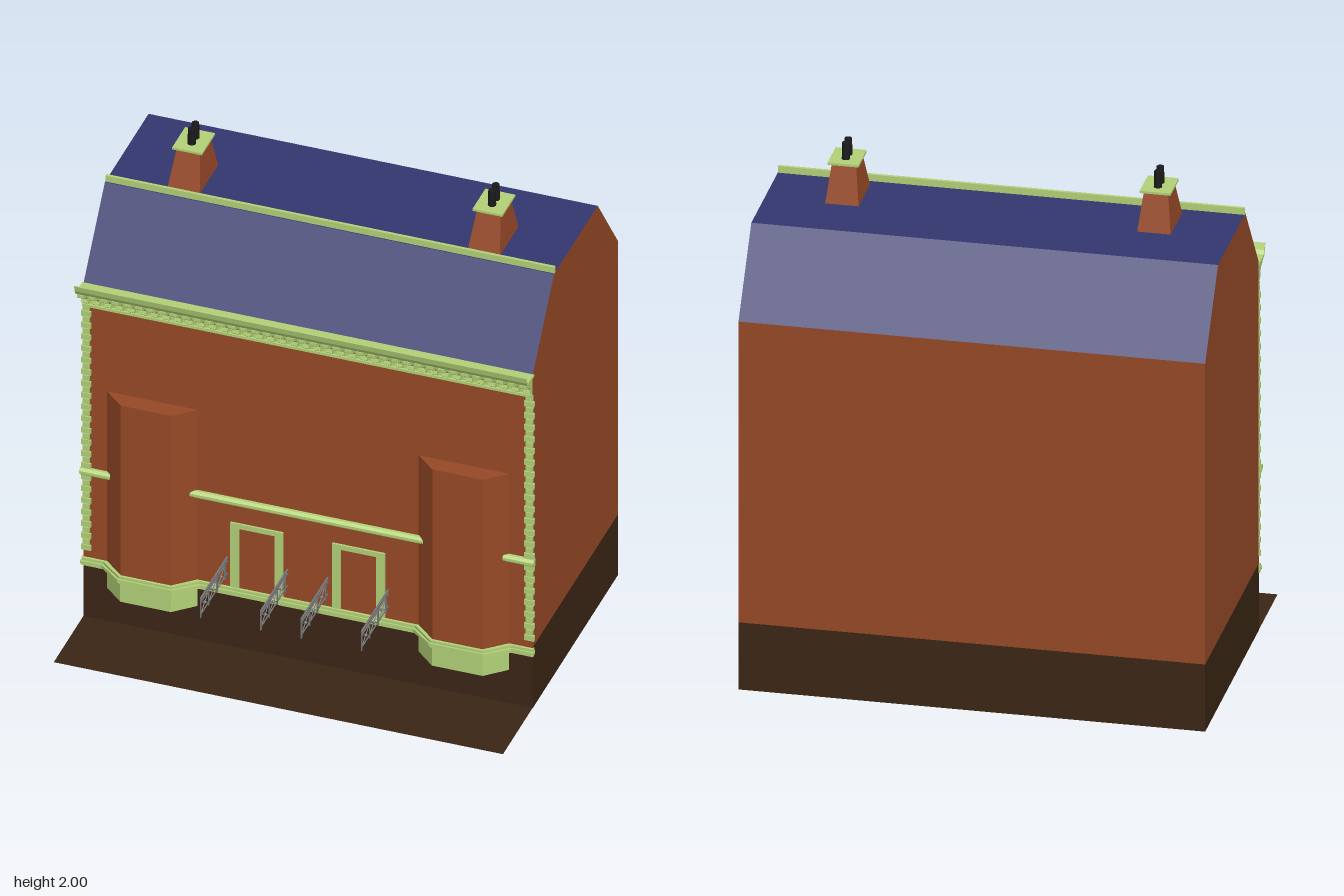
import * as THREE from 'three';

const mat = (color) => new THREE.MeshStandardMaterial({ color, side: THREE.DoubleSide, flatShading: true });
const brick = mat(0x974927), stone = mat(0xb4d278), plinth = mat(0x3b2615);
const slate = mat(0x34376f), black = mat(0x1a1a1a), iron = mat(0x777777);

const W = 0.875, FRONT = 0.3, BACK = -0.62;
const BAY = 0.607, BAY_OUT = 0.176, BAY_IN = 0.098, BAY_Z = 0.37;

const add = (parent, name, geometry, material) => {
  const mesh = new THREE.Mesh(geometry, material);
  mesh.name = name;
  parent.add(mesh);
  return mesh;
};
const shapeOf = (pts) => new THREE.Shape(pts.map(([x, y]) => new THREE.Vector2(x, y)));

// Box given by its limits
function box(x0, x1, y0, y1, z0, z1) {
  return new THREE.BoxGeometry(x1 - x0, y1 - y0, z1 - z0)
    .translate((x0 + x1) / 2, (y0 + y1) / 2, (z0 + z1) / 2);
}

// Flat convex panel from its corners
function panel(corners) {
  const g = new THREE.BufferGeometry();
  const index = [];
  for (let i = 1; i < corners.length - 1; i++) index.push(0, i, i + 1);
  g.setAttribute('position', new THREE.Float32BufferAttribute(corners.flat(), 3));
  g.setIndex(index);
  g.computeVertexNormals();
  return g;
}

// Plan outline (x, z) raised from y0 to y1
function raise(plan, y0, y1) {
  const g = new THREE.ExtrudeGeometry(shapeOf(plan.map(([x, z]) => [x, -z])), { depth: y1 - y0, bevelEnabled: false });
  return g.rotateX(-Math.PI / 2).translate(0, y0, 0);
}

// Side profile (z, y) run along x
function run(profile, x0, x1) {
  const g = new THREE.ExtrudeGeometry(shapeOf(profile.map(([z, y]) => [-z, y])), { depth: x1 - x0, bevelEnabled: false });
  return g.rotateY(Math.PI / 2).translate(x0, 0, 0);
}

// Bay corners in plan, grown by d
const bayPlan = (cx, d = 0) => [
  [cx - BAY_OUT - d, FRONT], [cx - BAY_IN - d * 0.5, BAY_Z + d],
  [cx + BAY_IN + d * 0.5, BAY_Z + d], [cx + BAY_OUT + d, FRONT],
];

function buildShell(root) {
  const shell = new THREE.Group();
  shell.name = 'shell';
  root.add(shell);

  // Front wall, open into the two bays
  const wall = shapeOf([[-W, 0.25], [W, 0.25], [W, 1.48], [-W, 1.48]]);
  for (const s of [-1, 1]) {
    const a = s * BAY - BAY_OUT, b = s * BAY + BAY_OUT;
    wall.holes.push(new THREE.Path([[a, 0.27], [a, 1.02], [b, 1.02], [b, 0.27]].map(([x, y]) => new THREE.Vector2(x, y))));
  }
  add(shell, 'frontWall', new THREE.ShapeGeometry(wall).translate(0, 0, FRONT), brick);
  add(shell, 'backWall', panel([[W, 0.27, BACK], [-W, 0.27, BACK], [-W, 1.48, BACK], [W, 1.48, BACK]]), brick);

  // Gable ends and plinth sides
  for (const s of [-1, 1]) {
    const gable = [[FRONT, 0.27], [BACK, 0.27], [BACK, 1.48], [-0.4, 1.78], [0.07, 1.78], [FRONT, 1.48]];
    const sill = [[FRONT, 0], [BACK, 0], [BACK, 0.27], [FRONT, 0.27]];
    const place = (pts) => (s > 0 ? pts : [...pts].reverse()).map(([z, y]) => [s * W, y, z]);
    add(shell, 'gableWall', panel(place(gable)), brick);
    add(shell, 'plinthSide', panel(place(sill)), plinth);
  }
  add(shell, 'plinthFront', panel([[-W, 0, FRONT + 0.001], [W, 0, FRONT + 0.001], [W, 0.25, FRONT + 0.001], [-W, 0.25, FRONT + 0.001]]), plinth);
  add(shell, 'plinthBack', panel([[W, 0, BACK], [-W, 0, BACK], [-W, 0.27, BACK], [W, 0.27, BACK]]), plinth);

  // Mansard roof planes
  const roof = [[FRONT, 1.48], [0.07, 1.78], [-0.4, 1.78], [BACK, 1.48]];
  for (let i = 0; i < 3; i++) {
    const [z0, y0] = roof[i], [z1, y1] = roof[i + 1];
    add(shell, 'roofPlane', panel([[-W, y0, z0], [W, y0, z0], [W, y1, z1], [-W, y1, z1]]), slate);
  }
  add(shell, 'roofEdgeTrim', box(-W, W, 1.777, 1.806, 0.054, 0.066), stone);
  add(shell, 'pavement', panel([[-W, 0.002, 0.62], [W, 0.002, 0.62], [W, 0.002, FRONT], [-W, 0.002, FRONT]]), plinth);
}

function buildBays(root) {
  for (const s of [-1, 1]) {
    const bay = new THREE.Group();
    bay.name = 'bay';
    root.add(bay);
    const outer = bayPlan(s * BAY);
    const inner = bayPlan(s * BAY, -0.006).reverse();
    add(bay, 'bayWalls', raise([...outer, ...inner], 0.25, 1.02), brick);
    add(bay, 'bayTop', raise(outer, 1.012, 1.02), brick);
    add(bay, 'bayFoot', raise(bayPlan(s * BAY, 0.002), 0.15, 0.245), stone);
  }
}

function buildTrim(root) {
  const trim = new THREE.Group();
  trim.name = 'stoneTrim';
  root.add(trim);

  // Plinth moulding, stepping round the bays
  for (const [d, y0, y1] of [[0.008, 0.232, 0.242], [0.016, 0.242, 0.256], [0.01, 0.256, 0.267]]) {
    const plan = [[-W - d * 0.5, FRONT - 0.005], [-W - d * 0.5, FRONT + d]];
    for (const s of [-1, 1]) plan.push(...bayPlan(s * BAY, d).map(([x, z]) => [x, Math.max(z, FRONT + d)]));
    plan.push([W + d * 0.5, FRONT + d], [W + d * 0.5, FRONT - 0.005]);
    add(trim, 'plinthMoulding', raise(plan, y0, y1), stone);
  }

  // String course between and beside the bays
  const course = [[0.298, 0.635], [0.31, 0.635], [0.314, 0.643], [0.322, 0.646], [0.322, 0.657], [0.312, 0.665], [0.298, 0.665]];
  for (const [a, b] of [[-0.885, -0.765], [-0.455, 0.455], [0.765, 0.885]]) add(trim, 'stringCourse', run(course, a, b), stone);

  // Corner quoins of alternating width
  const rows = 42, step = (1.39 - 0.3) / rows;
  for (const s of [-1, 1]) {
    for (let i = 0; i < rows; i++) {
      const inside = i % 2 ? 0.85 : 0.844, outside = i % 2 ? 0.877 : 0.882;
      const y = 0.3 + i * step;
      const [a, b] = s > 0 ? [inside, outside] : [-outside, -inside];
      add(trim, 'quoin', box(a, b, y + 0.001, y + step - 0.002, 0.296, 0.308), stone);
    }
  }

  // Door surrounds
  for (const s of [-1, 1]) {
    const frame = shapeOf([[-0.103, 0.27], [-0.069, 0.27], [-0.069, 0.534], [0.069, 0.534],
      [0.069, 0.27], [0.103, 0.27], [0.103, 0.555], [-0.103, 0.555]]);
    const g = new THREE.ExtrudeGeometry(frame, { depth: 0.01, bevelEnabled: false });
    add(trim, 'doorSurround', g.translate(s * 0.198, 0, FRONT - 0.002), stone);
  }
}

function buildCornice(root) {
  const cornice = new THREE.Group();
  cornice.name = 'cornice';
  root.add(cornice);
  add(cornice, 'frieze', box(-W, W, 1.39, 1.48, 0.296, 0.306), stone);
  add(cornice, 'friezeBand', box(-W, W, 1.388, 1.399, 0.298, 0.316), stone);
  add(cornice, 'gutter', run([[0.297, 1.472], [0.355, 1.472], [0.372, 1.478], [0.382, 1.495], [0.388, 1.52],
    [0.383, 1.52], [0.374, 1.497], [0.362, 1.484], [0.297, 1.482]], -0.88, 0.88), stone);
  // Row of scrolled brackets
  const bracket = [[0.3, 1.405], [0.318, 1.405], [0.33, 1.415], [0.326, 1.43], [0.338, 1.447],
    [0.358, 1.452], [0.37, 1.462], [0.37, 1.474], [0.3, 1.474]];
  const count = 39, pitch = (2 * W - 0.026) / (count - 1);
  for (let i = 0; i < count; i++) {
    const x = -W + i * pitch;
    add(cornice, 'bracket', run(bracket, x, x + 0.026), stone);
  }
}

function buildChimneys(root) {
  for (const s of [-1, 1]) {
    const chimney = new THREE.Group();
    chimney.name = 'chimney';
    chimney.position.set(s * 0.585, 0, -0.075);
    root.add(chimney);
    // Stack tapers towards the cap
    const stack = new THREE.BoxGeometry(0.126, 0.15, 0.2).translate(0, 1.853, 0);
    const p = stack.attributes.position;
    for (let i = 0; i < p.count; i++) {
      if (p.getY(i) > 1.85) p.setXYZ(i, p.getX(i) * 0.72, p.getY(i), p.getZ(i) * 0.53 - 0.008);
    }
    stack.computeVertexNormals();
    add(chimney, 'stack', stack, brick);
    add(chimney, 'cap', box(-0.058, 0.058, 1.926, 1.935, -0.078, 0.062), stone);
    for (const z of [-0.028, 0.012]) {
      add(chimney, 'pot', new THREE.CylinderGeometry(0.014, 0.016, 0.066, 12).translate(0, 1.967, z), black);
    }
  }
}

function buildRailings(root) {
  // Thin iron bar between two (z, y) points
  const bar = (group, name, [z0, y0], [z1, y1], t = 0.005) => {
    const mesh = add(group, name, new THREE.BoxGeometry(t, t, Math.hypot(z1 - z0, y1 - y0)), iron);
    mesh.position.set(0, (y0 + y1) / 2, (z0 + z1) / 2);
    mesh.rotation.x = -Math.atan2(y1 - y0, z1 - z0);
  };
  for (const x of [-0.315, -0.08, 0.077, 0.312]) {
    const rail = new THREE.Group();
    rail.name = 'railing';
    rail.position.x = x;
    root.add(rail);
    for (const y of [0.392, 0.376, 0.322]) bar(rail, 'rail', [0.3, y], [0.585, y], y > 0.39 ? 0.007 : 0.004);
    const posts = [0.585, 0.498, 0.411, 0.324];
    posts.forEach((z, i) => {
      bar(rail, 'post', [z, 0.308], [z, 0.392]);
      if (i === 0) return;
      bar(rail, 'brace', [z, 0.322], [posts[i - 1], 0.376], 0.003);
      bar(rail, 'brace', [z, 0.376], [posts[i - 1], 0.322], 0.003);
      const boss = add(rail, 'boss', new THREE.SphereGeometry(0.007, 8, 6), iron);
      boss.position.set(0, 0.349, (z + posts[i - 1]) / 2);
    });
  }
}

export function createModel() {
  const root = new THREE.Group();
  root.name = 'house';
  for (const build of [buildShell, buildBays, buildTrim, buildCornice, buildChimneys, buildRailings]) build(root);
  return root;
}
